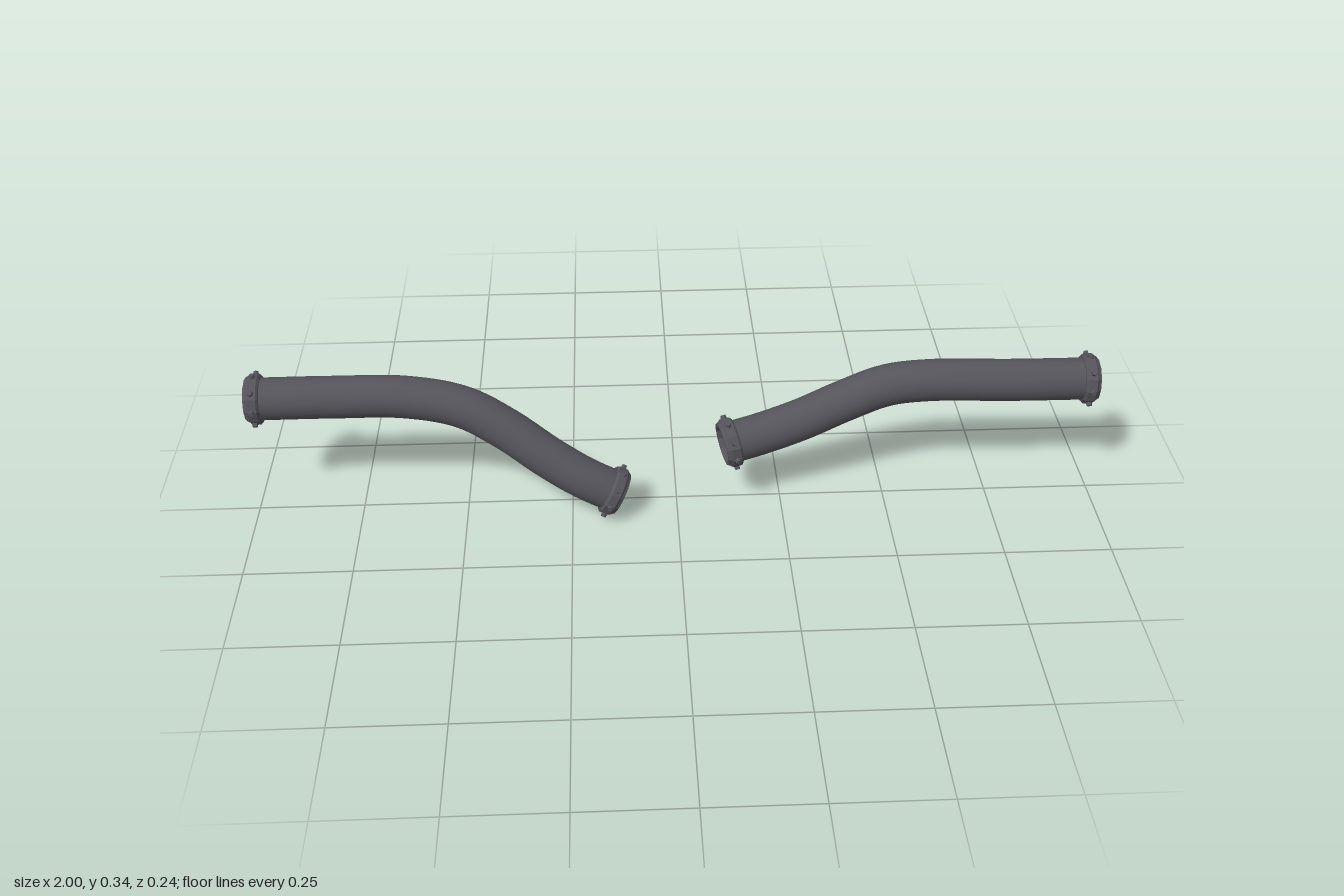
import * as THREE from 'three';

const metal = new THREE.MeshStandardMaterial({ color: 0x55545b, side: THREE.DoubleSide });
metal.name = 'dark metal';
const UP = new THREE.Vector3(0, 1, 0);

// Flanged ring with a stepped lip and eight bolts; local +y points out of the pipe, mouth at y = 0
function makeCollar(name) {
  const collar = new THREE.Group();
  collar.name = name;
  const profile = [
    [0.048, -0.036], [0.055, -0.036], [0.06, -0.031], [0.06, -0.011],
    [0.055, -0.006], [0.052, 0], [0.045, 0], [0.045, -0.036], [0.048, -0.036],
  ].map(([r, y]) => new THREE.Vector2(r, y));
  const ringGeometry = new THREE.LatheGeometry(profile, 12).toNonIndexed();
  ringGeometry.computeVertexNormals();
  const ring = new THREE.Mesh(ringGeometry, metal);
  ring.name = 'flangeRing';
  collar.add(ring);

  const boltGeometry = new THREE.CylinderGeometry(0.006, 0.008, 0.012, 6).toNonIndexed();
  boltGeometry.computeVertexNormals();
  for (let i = 0; i < 8; i++) {
    const a = (i / 8) * Math.PI * 2;
    const out = new THREE.Vector3(Math.cos(a), 0, Math.sin(a));
    const bolt = new THREE.Mesh(boltGeometry, metal);
    bolt.name = 'bolt';
    bolt.position.copy(out).multiplyScalar(0.0605);
    bolt.position.y = -0.02;
    bolt.quaternion.setFromUnitVectors(UP, out);
    collar.add(bolt);
  }
  return collar;
}

// Curved open pipe with a collar at each end
function makePipe(name, points) {
  const pipe = new THREE.Group();
  pipe.name = name;
  const curve = new THREE.CatmullRomCurve3(points.map((p) => new THREE.Vector3(...p)));
  const tube = new THREE.Mesh(new THREE.TubeGeometry(curve, 48, 0.05, 24), metal);
  tube.name = 'tube';
  pipe.add(tube);
  for (const t of [0, 1]) {
    const collar = makeCollar(t ? 'innerCollar' : 'outerCollar');
    const dir = curve.getTangent(t).multiplyScalar(t ? 1 : -1);
    collar.position.copy(curve.getPoint(t));
    collar.quaternion.setFromUnitVectors(UP, dir);
    pipe.add(collar);
  }
  return pipe;
}

export function createModel() {
  const model = new THREE.Group();
  model.name = 'pipePair';
  model.add(
    makePipe('rightPipe', [
      [-1, 0.283, -0.053], [-0.8, 0.283, -0.053], [-0.63, 0.282, -0.047], [-0.5, 0.262, -0.03],
      [-0.4, 0.213, -0.006], [-0.3, 0.148, 0.025], [-0.22, 0.102, 0.045], [-0.133, 0.058, 0.054],
    ]),
    makePipe('leftPipe', [
      [1, 0.283, -0.053], [0.8, 0.283, -0.055], [0.6, 0.284, -0.061], [0.5, 0.273, -0.06],
      [0.4, 0.239, -0.049], [0.3, 0.203, -0.03], [0.2, 0.179, -0.008], [0.108, 0.164, 0.012],
    ]),
  );
  return model;
}
